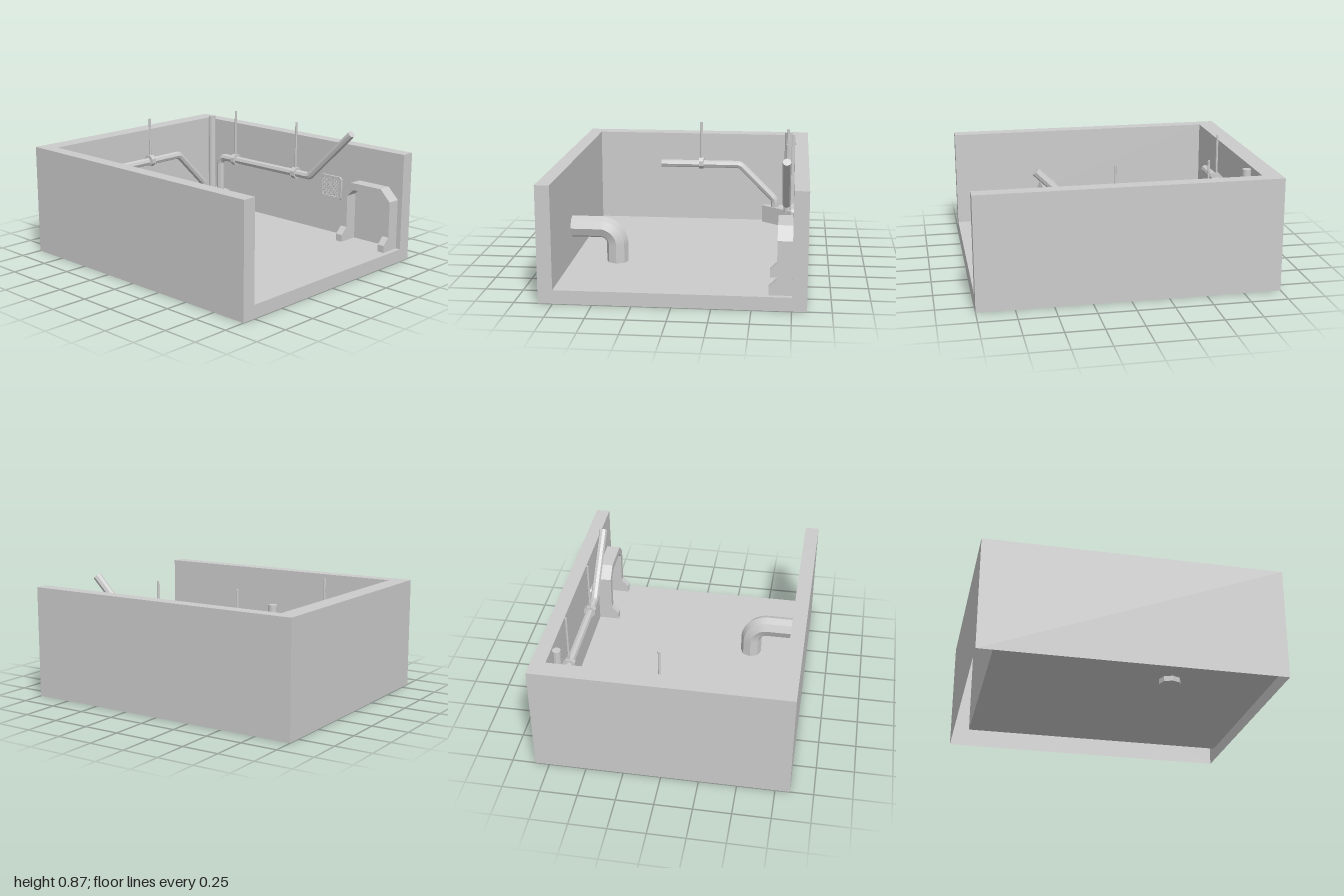
import * as THREE from 'three';
import { mergeGeometries } from 'three/addons/utils/BufferGeometryUtils.js';

const material = new THREE.MeshStandardMaterial({ color: 0xcccccc, flatShading: true, side: THREE.DoubleSide });

const W = 0.845, IN = 0.75, LEFT = -0.875, FLOOR = 0.09, TOP = 0.765;

function add(parent, name, geometry, x = 0, y = 0, z = 0) {
  const mesh = new THREE.Mesh(geometry, material);
  mesh.name = name;
  mesh.position.set(x, y, z);
  parent.add(mesh);
  return mesh;
}

// Shape from [x, z] plan points, to be laid flat
function planShape(points) {
  return new THREE.Shape(points.map(([x, z]) => new THREE.Vector2(x, -z)));
}

// Capped tube along a polyline with rounded corners
function pipe(points, radius, bend, segments = 90, sides = 8) {
  const p = points.map((a) => new THREE.Vector3(...a));
  const path = new THREE.CurvePath();
  let from = p[0];
  for (let i = 1; i < p.length - 1; i++) {
    const back = p[i - 1].clone().sub(p[i]).normalize();
    const on = p[i + 1].clone().sub(p[i]).normalize();
    const half = back.angleTo(on) / 2;
    const trim = bend / Math.tan(half);
    const k = (4 / 3) * Math.tan((Math.PI / 2 - half) / 2) * bend;
    const a = p[i].clone().addScaledVector(back, trim);
    const b = p[i].clone().addScaledVector(on, trim);
    path.add(new THREE.LineCurve3(from, a));
    path.add(new THREE.CubicBezierCurve3(a, a.clone().addScaledVector(back, -k), b.clone().addScaledVector(on, -k), b));
    from = b;
  }
  path.add(new THREE.LineCurve3(from, p[p.length - 1]));
  const geo = new THREE.TubeGeometry(path, segments, radius, sides, false);
  const index = Array.from(geo.index.array);
  const last = segments * (sides + 1);
  for (let i = 1; i < sides - 1; i++) {
    index.push(0, i, i + 1, last, last + i + 1, last + i);
  }
  geo.setIndex(index);
  return geo;
}

// Hollow three-sided room, open underneath
function buildRoom() {
  const room = new THREE.Group();
  room.name = 'room';
  const loop = [[1, -W], [-1, -W], [-1, W], [1, W], [1, IN], [LEFT, IN], [LEFT, -IN], [1, -IN]];
  const pos = [];
  const wall = ([ax, az], [bx, bz], y0, y1) => {
    pos.push(ax, y0, az, bx, y0, bz, bx, y1, bz, ax, y0, az, bx, y1, bz, ax, y1, az);
  };
  loop.forEach((a, i) => wall(a, loop[(i + 1) % 8], i >= 4 && i < 7 ? FLOOR : 0, TOP));
  wall(loop[4], loop[7], 0, FLOOR);
  const walls = new THREE.BufferGeometry();
  walls.setAttribute('position', new THREE.Float32BufferAttribute(pos, 3));
  walls.computeVertexNormals();
  add(room, 'walls', walls);
  add(room, 'wallTop', new THREE.ShapeGeometry(planShape(loop)).rotateX(-Math.PI / 2), 0, TOP, 0);
  add(room, 'floor', new THREE.PlaneGeometry(1 - LEFT, 2 * IN).rotateX(-Math.PI / 2), (1 + LEFT) / 2, FLOOR, 0);
  return room;
}

// Clamp around a pipe with a rod up to the ceiling
function buildHanger(x, y, z, alongX) {
  const hanger = new THREE.Group();
  hanger.name = 'pipeHanger';
  hanger.position.set(x, y, z);
  const clamp = new THREE.CylinderGeometry(0.044, 0.044, 0.036, 8).rotateY(Math.PI / 8);
  if (alongX) clamp.rotateZ(Math.PI / 2);
  else clamp.rotateX(Math.PI / 2);
  add(hanger, 'clamp', clamp);
  const h = 0.87 - y;
  add(hanger, 'rod', new THREE.CylinderGeometry(0.008, 0.008, h - 0.03, 8), 0, (h + 0.03) / 2, 0);
  return hanger;
}

// Chamfered doorway surround with two sloped feet
function buildDoorway() {
  const door = new THREE.Group();
  door.name = 'doorway';
  const x0 = 0.55, x1 = 0.965, t = 0.05;
  const shape = new THREE.Shape([
    [x0, FLOOR], [x0, 0.44], [x0 + 0.08, 0.52], [x1 - 0.08, 0.52], [x1, 0.44], [x1, FLOOR],
    [x1 - t, FLOOR], [x1 - t, 0.42], [x1 - 0.1, 0.47], [x0 + 0.1, 0.47], [x0 + t, 0.42], [x0 + t, FLOOR],
  ].map(([x, y]) => new THREE.Vector2(x, y)));
  add(door, 'doorFrame', new THREE.ExtrudeGeometry(shape, { depth: 0.095, bevelEnabled: false }), 0, 0, -IN);

  // Foot profile runs forward from the frame
  const foot = new THREE.Shape([[0, 0], [0.05, 0], [0.05, 0.05], [0, 0.1]].map(([z, y]) => new THREE.Vector2(z, y)));
  for (const x of [x0, x1 - t]) {
    const geo = new THREE.ExtrudeGeometry(foot, { depth: t, bevelEnabled: false });
    geo.rotateY(-Math.PI / 2).translate(t, 0, 0);
    add(door, 'doorFoot', geo, x, FLOOR, -0.655);
  }
  return door;
}

// Wall vent: rounded frame and a diagonal lattice
function buildVent() {
  const vent = new THREE.Group();
  vent.name = 'vent';
  vent.position.set(0.385, 0.43, -IN);
  const w = 0.095, h = 0.085, c = 0.015, iw = 0.075, ih = 0.066;
  const octagon = (a, b, k) => [[-a + k, -b], [a - k, -b], [a, -b + k], [a, b - k], [a - k, b], [-a + k, b], [-a, b - k], [-a, -b + k]]
    .map(([x, y]) => new THREE.Vector2(x, y));
  const frame = new THREE.Shape(octagon(w, h, c));
  frame.holes.push(new THREE.Path(octagon(iw, ih, 0.008)));
  add(vent, 'ventFrame', new THREE.ExtrudeGeometry(frame, { depth: 0.016, bevelEnabled: false }));

  const bars = [];
  for (const s of [1, -1]) {
    for (let d = -0.13; d <= 0.131; d += 0.013) {
      // Clip the line y = s * x + d to the opening
      const ends = [(-ih - d) * s, (ih - d) * s].sort((a, b) => a - b);
      const a = Math.max(-iw, ends[0]), b = Math.min(iw, ends[1]);
      if (b - a < 0.004) continue;
      const bar = new THREE.BoxGeometry((b - a) * Math.SQRT2, 0.0035, 0.004);
      bar.rotateZ((s * Math.PI) / 4).translate((a + b) / 2, (s * (a + b)) / 2 + d, 0.007);
      bars.push(bar);
    }
  }
  add(vent, 'ventGrille', mergeGeometries(bars));
  return vent;
}

export function createModel() {
  const model = new THREE.Group();
  model.name = 'pipeRoom';
  model.add(buildRoom(), buildDoorway(), buildVent());

  // Corner block that the pipes rise from
  const block = planShape([[-0.845, -0.745], [-0.64, -0.745], [-0.64, -0.73], [-0.82, -0.507], [-0.845, -0.507]]);
  add(model, 'cornerBlock', new THREE.ExtrudeGeometry(block, { depth: 0.13, bevelEnabled: false }).rotateX(-Math.PI / 2), 0, FLOOR, 0);
  add(model, 'uprightPipe', new THREE.CylinderGeometry(0.028, 0.028, 0.6, 12), -0.785, 0.5, -0.7);

  // Pipe along the side wall
  add(model, 'sidePipe', pipe([
    [-0.787, 0.545, 0.27], [-0.787, 0.545, -0.335], [-0.787, 0.275, -0.605], [-0.787, 0.2, -0.605],
  ], 0.028, 0.06));
  model.add(buildHanger(-0.783, 0.553, -0.038, false));

  // Pipe along the back wall
  add(model, 'backPipe', pipe([
    [-0.692, 0.2, -0.7], [-0.692, 0.487, -0.7], [0.215, 0.487, -0.7], [0.587, 0.855, -0.7],
  ], 0.028, 0.055, 140));
  for (const x of [-0.53, 0.08]) model.add(buildHanger(x, 0.49, -0.7, true));

  // Large elbow from the floor into the front wall
  add(model, 'elbowPipe', pipe([[0.322, 0.055, 0.44], [0.322, 0.327, 0.44], [0.322, 0.327, 0.77]], 0.074, 0.115, 40));
  return model;
}
